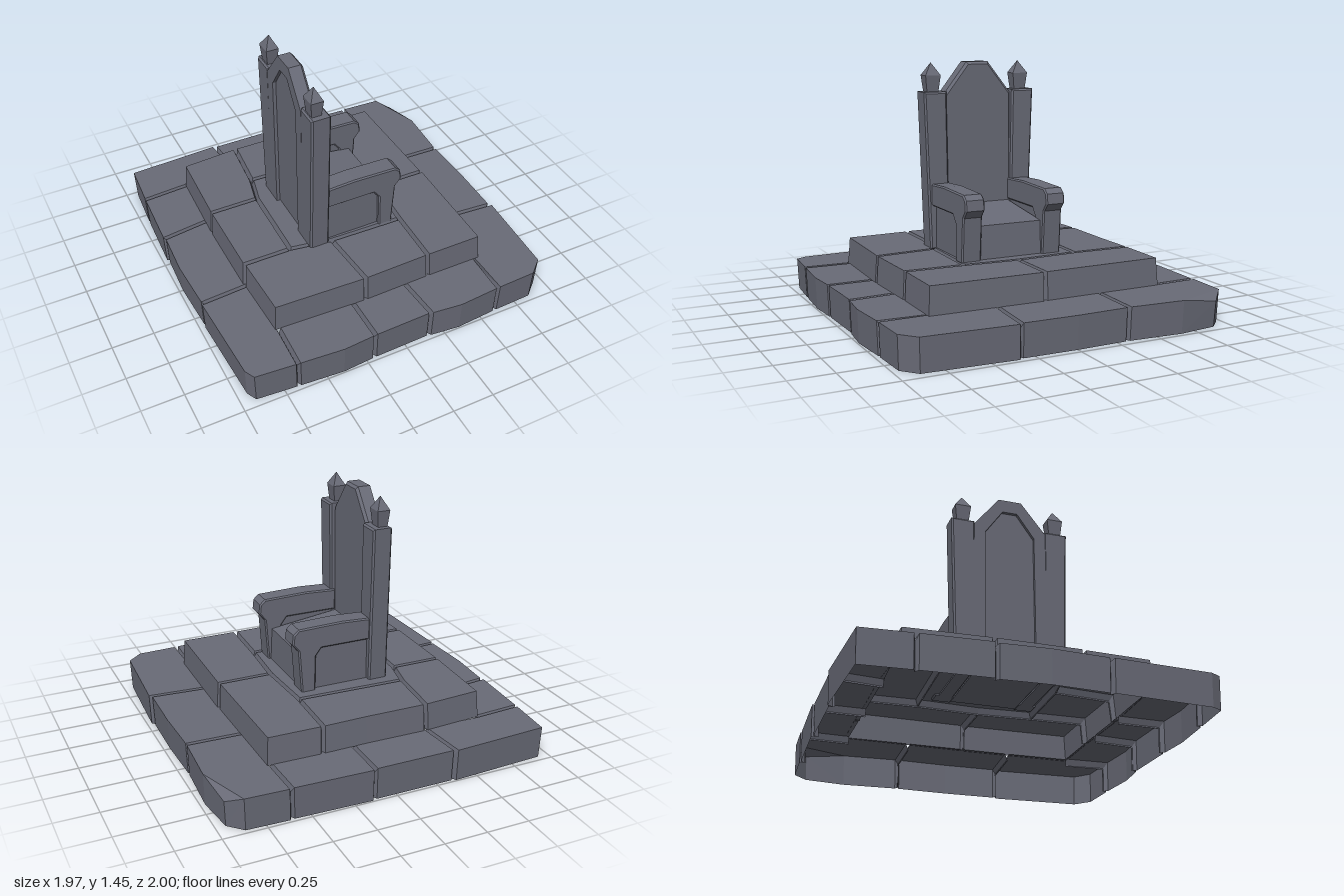
import * as THREE from 'three';

const stone = new THREE.MeshStandardMaterial({ color: 0x696b77, flatShading: true, side: THREE.DoubleSide });
stone.name = 'grey stone';

function add(group, name, geometry) {
  const mesh = new THREE.Mesh(geometry, stone);
  mesh.name = name;
  group.add(mesh);
  return mesh;
}

// Moves every edge of a polygon inwards by its own distance
function insetPolygon(points, distances) {
  const n = points.length;
  const lines = points.map(([x, z], i) => {
    const [bx, bz] = points[(i + 1) % n];
    const len = Math.hypot(bx - x, bz - z);
    const dx = (bx - x) / len, dz = (bz - z) / len;
    return { x: x - dz * distances[i], z: z + dx * distances[i], dx, dz };
  });
  return lines.map((b, i) => {
    const a = lines[(i + n - 1) % n];
    const det = a.dx * b.dz - a.dz * b.dx;
    if (Math.abs(det) < 0.12) return [b.x, b.z];
    const t = ((b.x - a.x) * b.dz - (b.z - a.z) * b.dx) / det;
    return [a.x + a.dx * t, a.z + a.dz * t];
  });
}

// Hollow stone block. Edge kinds: o = outer wall, g = groove beside a neighbour, n = open
function blockGeometry(points, kinds, top, base, flare) {
  const n = points.length, k = [...kinds], pos = [];
  const rim = insetPolygon(points, k.map(c => (c === 'g' ? 0.013 : 0)));
  const seam = insetPolygon(points, k.map(c => (c === 'o' ? 0.03 : c === 'g' ? -0.003 : 0)));
  const low = top - 0.045;
  const drop = i => points[i][2] || 0;
  const T = i => [rim[i][0], top - drop(i), rim[i][1]];
  const B = i => [rim[i][0] * flare, base, rim[i][1] * flare];
  const C = i => [seam[i][0], low, seam[i][1]];
  const CB = i => [seam[i][0] * flare, base, seam[i][1] * flare];
  const quad = (a, b, c, d) => pos.push(...a, ...b, ...c, ...a, ...c, ...d);
  for (const [a, b, c] of THREE.ShapeUtils.triangulateShape(rim.map(p => new THREE.Vector2(...p)), [])) {
    const cross = (rim[b][0] - rim[a][0]) * (rim[c][1] - rim[a][1]) - (rim[b][1] - rim[a][1]) * (rim[c][0] - rim[a][0]);
    pos.push(...T(a), ...(cross < 0 ? [...T(b), ...T(c)] : [...T(c), ...T(b)]));
  }
  for (let i = 0; i < n; i++) {
    const j = (i + 1) % n, prev = k[(i + n - 1) % n];
    if (k[i] === 'o') quad(T(i), T(j), B(j), B(i));
    if (k[i] === 'g') quad(T(i), T(j), C(j), C(i));
    // notch where a groove meets the outer wall
    if (prev === 'o' && k[i] === 'g') quad(T(i), C(i), CB(i), B(i));
    if (prev === 'g' && k[i] === 'o') quad(C(i), T(i), B(i), CB(i));
  }
  const g = new THREE.BufferGeometry();
  g.setAttribute('position', new THREE.Float32BufferAttribute(pos, 3));
  g.computeVertexNormals();
  return g;
}

const lowerBlocks = [
  ['ogngo', [[-0.94, -0.97], [-0.36, -1], [-0.33, -0.7], [-0.67, -0.7], [-0.96, -0.68]]],
  ['ogng', [[-0.36, -0.99], [0.13, -0.99], [0.13, -0.7], [-0.33, -0.7]]],
  ['ogng', [[0.13, -1], [0.61, -0.985], [0.62, -0.7], [0.13, -0.7]]],
  ['oooogng', [[0.61, -0.99], [0.87, -0.98], [0.95, -0.9, 0.04], [0.98, -0.66], [0.96, -0.32], [0.63, -0.33], [0.62, -0.7]]],
  ['oogng', [[0.96, -0.32], [0.97, 0], [0.965, 0.335], [0.63, 0.31], [0.63, -0.33]]],
  ['ooogng', [[0.98, 0.335], [0.95, 0.89], [0.86, 0.97], [0.61, 0.98], [0.62, 0.7], [0.63, 0.31]]],
  ['oogng', [[0.61, 0.98], [0.35, 1], [0.16, 0.98], [0.14, 0.7], [0.62, 0.7]]],
  ['ogng', [[0.16, 0.975], [-0.2, 0.985], [-0.2, 0.7], [0.14, 0.7]]],
  ['oogng', [[-0.2, 0.985], [-0.4, 1], [-0.67, 0.98], [-0.66, 0.7], [-0.2, 0.7]]],
  ['ooogng', [[-0.67, 0.98], [-0.92, 0.96], [-0.95, 0.9], [-0.975, 0.33], [-0.67, 0.31], [-0.66, 0.7]]],
  ['oogng', [[-0.97, 0.33], [-0.985, 0], [-0.97, -0.28], [-0.67, -0.32], [-0.67, 0.31]]],
  ['ogng', [[-0.98, -0.28], [-0.96, -0.68], [-0.67, -0.7], [-0.67, -0.32]]],
];

const upperBlocks = [
  ['ogggo', [[-0.67, -0.69], [-0.32, -0.715], [-0.35, -0.38], [-0.39, -0.2], [-0.69, -0.2]]],
  ['ooggg', [[-0.32, -0.715], [0.05, -0.71], [0.31, -0.715], [0.3, -0.36], [-0.35, -0.38]]],
  ['ooggg', [[0.31, -0.715], [0.63, -0.71], [0.64, 0.02], [0.32, 0.02], [0.3, -0.36]]],
  ['googg', [[0.32, 0.02], [0.645, 0.02], [0.635, 0.7], [0.29, 0.7], [0.3, 0.35]]],
  ['gogg', [[0.3, 0.35], [0.29, 0.7], [-0.12, 0.71], [-0.15, 0.34]]],
  ['ooggg', [[-0.12, 0.71], [-0.67, 0.69], [-0.685, 0.3], [-0.4, 0.3], [-0.15, 0.34]]],
  ['oggg', [[-0.69, 0.3], [-0.69, -0.2], [-0.39, -0.2], [-0.4, 0.3]]],
  ['ggggggg', [[-0.39, -0.2], [-0.35, -0.38], [0.3, -0.36], [0.32, 0.02], [0.3, 0.35], [-0.15, 0.34], [-0.4, 0.3]]],
];

// Bevelled extrusion of an outline
function slab(outline, depth, bevel, hole) {
  const shape = new THREE.Shape(outline.map(p => new THREE.Vector2(...p)));
  if (hole) shape.holes.push(new THREE.Path(hole.map(p => new THREE.Vector2(...p))));
  const g = new THREE.ExtrudeGeometry(shape, {
    depth: depth - 2 * bevel, bevelEnabled: bevel > 0, bevelSize: bevel,
    bevelThickness: bevel, bevelOffset: -bevel, bevelSegments: 1,
  });
  return g.translate(0, 0, bevel);
}
// Outline in (z, y), running from x0 to x1
const slabAlongX = (outline, x0, x1, bevel, hole) =>
  slab(outline, x1 - x0, bevel, hole).rotateY(-Math.PI / 2).translate(x1, 0, 0);

export function createModel() {
  const model = new THREE.Group();
  model.name = 'stone throne';

  // Stepped dais
  for (const [name, blocks, top, base, flare] of [
    ['lowerStep', lowerBlocks, 0.19, 0, 0.993],
    ['upperStep', upperBlocks, 0.35, 0.188, 1.015],
  ]) {
    const step = new THREE.Group();
    step.name = name;
    blocks.forEach(([kinds, pts], i) => add(step, `${name}Block${i + 1}`, blockGeometry(pts, kinds, top, base, flare)));
    model.add(step);
  }

  // Throne, facing +x, built around its own centre line
  const throne = new THREE.Group();
  throne.name = 'throne';
  throne.position.z = 0.025;
  model.add(throne);

  // Backrest with a recessed panel at the rear
  const back = [[-0.22, 0.34], [0.22, 0.34], [0.22, 1.26], [0.07, 1.45], [-0.07, 1.45], [-0.22, 1.26]];
  const recess = [[-0.15, 0.345], [-0.15, 1.22], [-0.045, 1.37], [0.045, 1.37], [0.15, 1.22], [0.15, 0.345]];
  add(throne, 'backrest', slabAlongX(back, -0.27, -0.2, 0.015));
  add(throne, 'rearFrame', slabAlongX(back, -0.29, -0.255, 0, recess));

  // Seat, sloping gently to the front
  add(throne, 'seat', slab([[-0.21, 0.34], [0.235, 0.34], [0.225, 0.545], [-0.21, 0.6]], 0.4, 0).translate(0, 0, -0.2));

  const post = [[0.2, 0.34], [0.325, 0.34], [0.358, 1.28], [0.215, 1.28]];
  const arm = [[0.165, 0.34], [0.25, 0.34], [0.268, 0.605], [0.305, 0.65], [0.298, 0.71], [0.265, 0.738],
    [0, 0.745], [-0.2, 0.735], [-0.2, 0.605], [0.125, 0.605], [0.16, 0.56]];
  for (const side of [1, -1]) {
    const s = side > 0 ? 'left' : 'right';
    // Tapered back post with a pointed finial
    const p = (side > 0 ? post : [...post].reverse()).map(([z, y]) => [z * side, y]);
    add(throne, `${s}BackPost`, slabAlongX(p, -0.29, -0.172, 0.01));
    const finial = new THREE.LatheGeometry([[0, 1.27], [0.05, 1.27], [0.068, 1.375], [0, 1.45]].map(q => new THREE.Vector2(...q)), 4);
    add(throne, `${s}Finial`, finial.rotateY(Math.PI / 4).scale(0.8, 1, 1).translate(-0.245, 0, side * 0.287));
    // Armrest with its front leg, and the recessed side panel
    add(throne, `${s}Armrest`, slab(arm, 0.12, 0.008).translate(0, 0, side * 0.256 - 0.06));
    const panel = new THREE.BoxGeometry(0.4, 0.3, 0.08);
    add(throne, `${s}SidePanel`, panel.translate(0, 0.49, side * 0.25));
  }
  return model;
}
